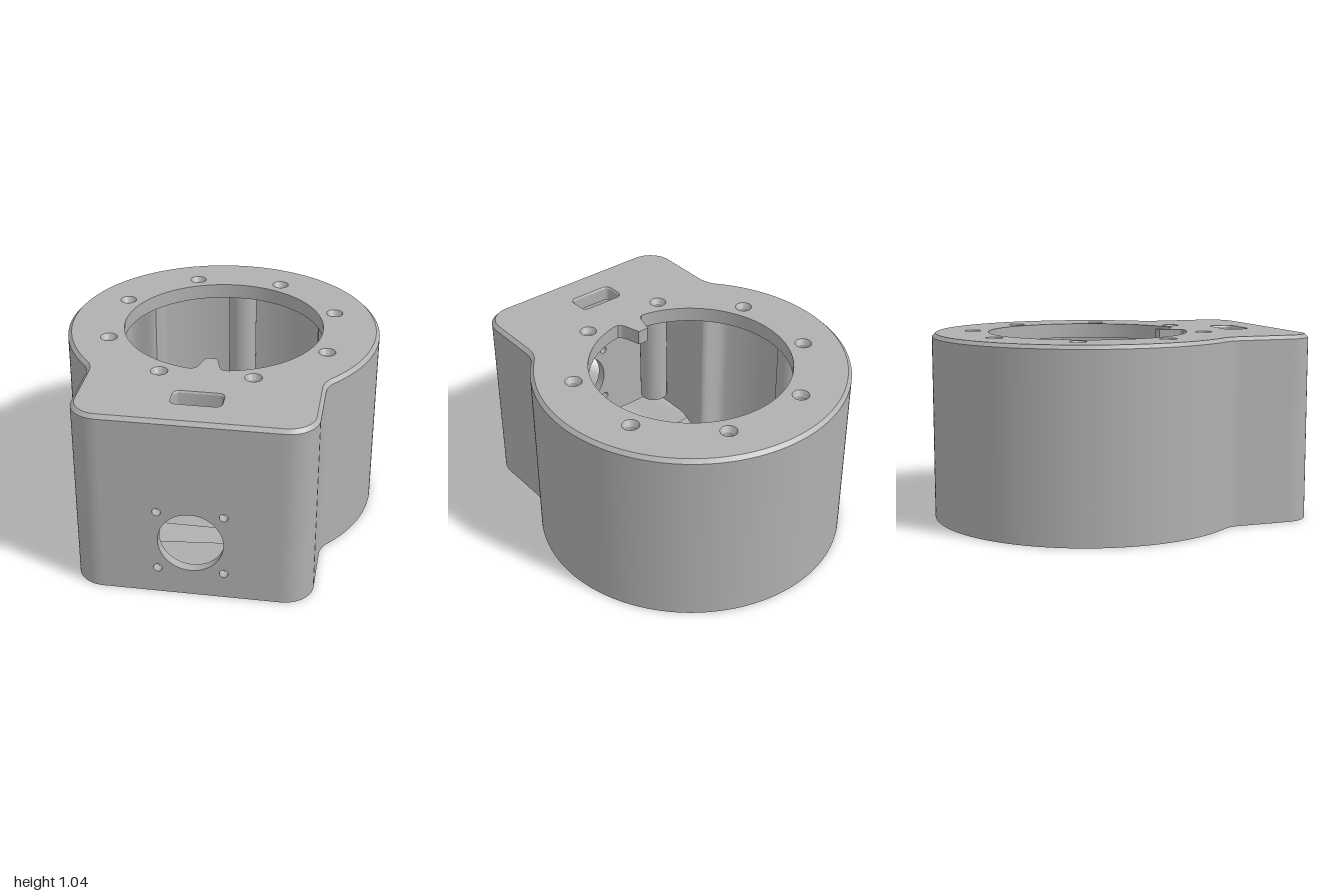
import * as THREE from 'three';
import { toCreasedNormals } from 'three/addons/utils/BufferGeometryUtils.js';

const H = 1.04, CEIL = 0.955, CH = 0.02, WALL = 0.055;
const CZ = -0.125, R = 0.875;           // round body centre and radius
const HALF = 0.635, CORNER = 0.16;      // square front block

// Housing outline in (x, z), inset by d, from the front right corner round to the front left
function outline(d) {
  const pts = [];
  const run = (n, f) => { for (let i = pts.length ? 1 : 0; i <= n; i++) pts.push(f(i / n)); };
  const c = HALF - CORNER, zc = 1 - CORNER, fx = HALF + CORNER;
  const fz = CZ + Math.sqrt((R + CORNER) ** 2 - fx ** 2);
  const a0 = Math.atan2(fz - CZ, fx);
  run(12, t => [c + (CORNER - d) * Math.sin(t * Math.PI / 2), zc + (CORNER - d) * Math.cos(t * Math.PI / 2)]);
  run(16, t => [HALF - d, zc + (fz - zc) * t]);
  run(12, t => [fx - (CORNER + d) * Math.cos(a0 * t), fz - (CORNER + d) * Math.sin(a0 * t)]);
  run(90, t => {
    const a = a0 + (-Math.PI / 2 - a0) * t;
    return [(R - d) * Math.cos(a), CZ + (R - d) * Math.sin(a)];
  });
  return pts.concat(pts.slice(0, -1).reverse().map(([x, z]) => [-x, z]));
}

// Inner wall with four rounded screw columns swelling out of it
function cavity() {
  return outline(WALL).map(([x, z]) => {
    const r = Math.hypot(x, z - CZ), a = Math.abs(Math.atan2(x, z - CZ));
    const off = Math.min(Math.abs(a - Math.PI / 4), Math.abs(a - 3 * Math.PI / 4));
    const bump = off < 0.17 ? 0.11 * (0.5 + 0.5 * Math.cos(off / 0.17 * Math.PI)) : 0;
    const k = (r - bump) / r;
    return [x * k, CZ + (z - CZ) * k];
  });
}

function circle(x, z, r, n = 24) {
  return Array.from({ length: n }, (_, i) => {
    const a = i / n * Math.PI * 2;
    return [x + r * Math.sin(a), z + r * Math.cos(a)];
  });
}

// Large opening with a small key tab at the front
function opening() {
  const pts = [];
  for (let i = 0; i <= 96; i++) {
    const a = 0.2 + (2 * Math.PI - 0.4) * i / 96;
    pts.push([0.56 * Math.sin(a), CZ + 0.56 * Math.cos(a)]);
  }
  const tab = [[-0.085, 0.424], [-0.068, 0.412], [-0.058, 0.39], [-0.036, 0.312], [-0.032, 0.3], [-0.024, 0.295]];
  return pts.concat(tab, tab.slice().reverse().map(([x, z]) => [-x, z]));
}

function slot(d) {
  const pts = [], r = 0.03;
  [[1, 1], [1, -1], [-1, -1], [-1, 1]].forEach(([sx, sz], q) => {
    for (let i = 0; i <= 6; i++) {
      const a = (q + i / 6) * Math.PI / 2;
      pts.push([sx * 0.1 + (r + d) * Math.sin(a), 0.748 + sz * 0.036 + (r + d) * Math.cos(a)]);
    }
  });
  return pts;
}

// Wall strip through matching loops given as [points, y]
function loft(loops, closed) {
  const pos = [], n = loops[0][0].length;
  const v = (k, i) => { const [x, z] = loops[k][0][i % n]; return [x, loops[k][1], z]; };
  for (let k = 0; k + 1 < loops.length; k++) {
    for (let i = 0; i < (closed ? n : n - 1); i++) {
      const a = v(k, i), b = v(k, i + 1), c = v(k + 1, i + 1), d = v(k + 1, i);
      pos.push(...a, ...b, ...c, ...a, ...c, ...d);
    }
  }
  const g = new THREE.BufferGeometry();
  g.setAttribute('position', new THREE.Float32BufferAttribute(pos, 3));
  return toCreasedNormals(g, 0.5);
}

// Flat horizontal face with holes
function cap(points, holes, y, up) {
  const s = up ? -1 : 1;
  const vecs = p => p.map(([x, z]) => new THREE.Vector2(x, s * z));
  const shape = new THREE.Shape(vecs(points));
  shape.holes = holes.map(h => new THREE.Path(vecs(h)));
  return new THREE.ShapeGeometry(shape).rotateX(s * Math.PI / 2).translate(0, y, 0);
}

const lathe = profile => toCreasedNormals(
  new THREE.LatheGeometry(profile.map(p => new THREE.Vector2(...p)), 28), 0.5);

export function createModel() {
  const group = new THREE.Group();
  const grey = new THREE.MeshStandardMaterial({ color: 0xb0b0b0, side: THREE.DoubleSide });
  grey.name = 'grey';
  const add = (name, geo, x = 0, z = 0) => {
    const m = new THREE.Mesh(geo, grey);
    m.name = name;
    m.position.set(x, 0, z);
    group.add(m);
  };

  const outer = outline(0), top = outline(CH), inner = cavity(), hole = opening();
  const screws = Array.from({ length: 8 }, (_, i) => {
    const a = (i + 0.5) * Math.PI / 4;
    return [0.655 * Math.sin(a), CZ + 0.655 * Math.cos(a)];
  });
  const bosses = [1, 3, 5, 7].map(i => [0.785 * Math.sin(i * Math.PI / 4), CZ + 0.785 * Math.cos(i * Math.PI / 4)]);

  // Shell walls and chamfered top edge
  add('outerWall', loft([[outer, 0], [outer, H - CH]], false));
  add('topChamfer', loft([[outer, H - CH], [top, H]], true));
  add('innerWall', loft([[inner, CEIL], [inner, 0]], false));

  // Top plate, ceiling and bottom rim
  add('topFace', cap(top, [hole, slot(0.006), ...screws.map(([x, z]) => circle(x, z, 0.047, 28))], H, true));
  add('ceiling', cap(inner, [hole, slot(0), ...screws.map(([x, z]) => circle(x, z, 0.028, 28))], CEIL, false));
  add('bottomRim', cap(outer, [inner, ...bosses.map(([x, z]) => circle(x, z, 0.05, 28))], 0, false));
  add('openingEdge', loft([[hole, H], [hole, CEIL]], true));
  add('slotEdge', loft([[slot(0.006), H], [slot(0), H - 0.01], [slot(0), CEIL]], true));

  // Countersunk screw holes above and below
  const screwHole = lathe([[0.047, H], [0.028, H - 0.03], [0.028, CEIL]]);
  screws.forEach(([x, z]) => add('topScrewHole', screwHole, x, z));
  const bossHole = lathe([[0, 0.25], [0.03, 0.25], [0.03, 0.025], [0.05, 0]]);
  bosses.forEach(([x, z]) => add('bottomScrewHole', bossHole, x, z));

  // Recessed lugs along the inner wall
  const lug = lathe([[0, 0.22], [0.02, 0.22], [0.02, 0.08], [0.085, 0.08], [0.085, CEIL + 0.01]]);
  [[0.775, CZ], [-0.775, CZ], [0, CZ - 0.775], [0.5, 0.85], [-0.5, 0.85]]
    .forEach(([x, z]) => add('lug', lug, x, z));

  // Front panel with a round port and four small fixing holes
  const w = HALF - CORNER;
  const panel = new THREE.Shape([[-w, 0], [w, 0], [w, H - CH], [-w, H - CH]].map(p => new THREE.Vector2(...p)));
  const port = (x, y, r) => panel.holes.push(new THREE.Path().absarc(x, y, r, 0, Math.PI * 2, true));
  port(0, 0.325, 0.173);
  for (const x of [-0.175, 0.175]) for (const y of [0.15, 0.5]) port(x, y, 0.023);
  const panelGeo = new THREE.ExtrudeGeometry(panel, { depth: WALL, bevelEnabled: false, curveSegments: 32 });
  add('frontPanel', toCreasedNormals(panelGeo.translate(0, 0, 1 - WALL), 0.5));

  return group;
}
